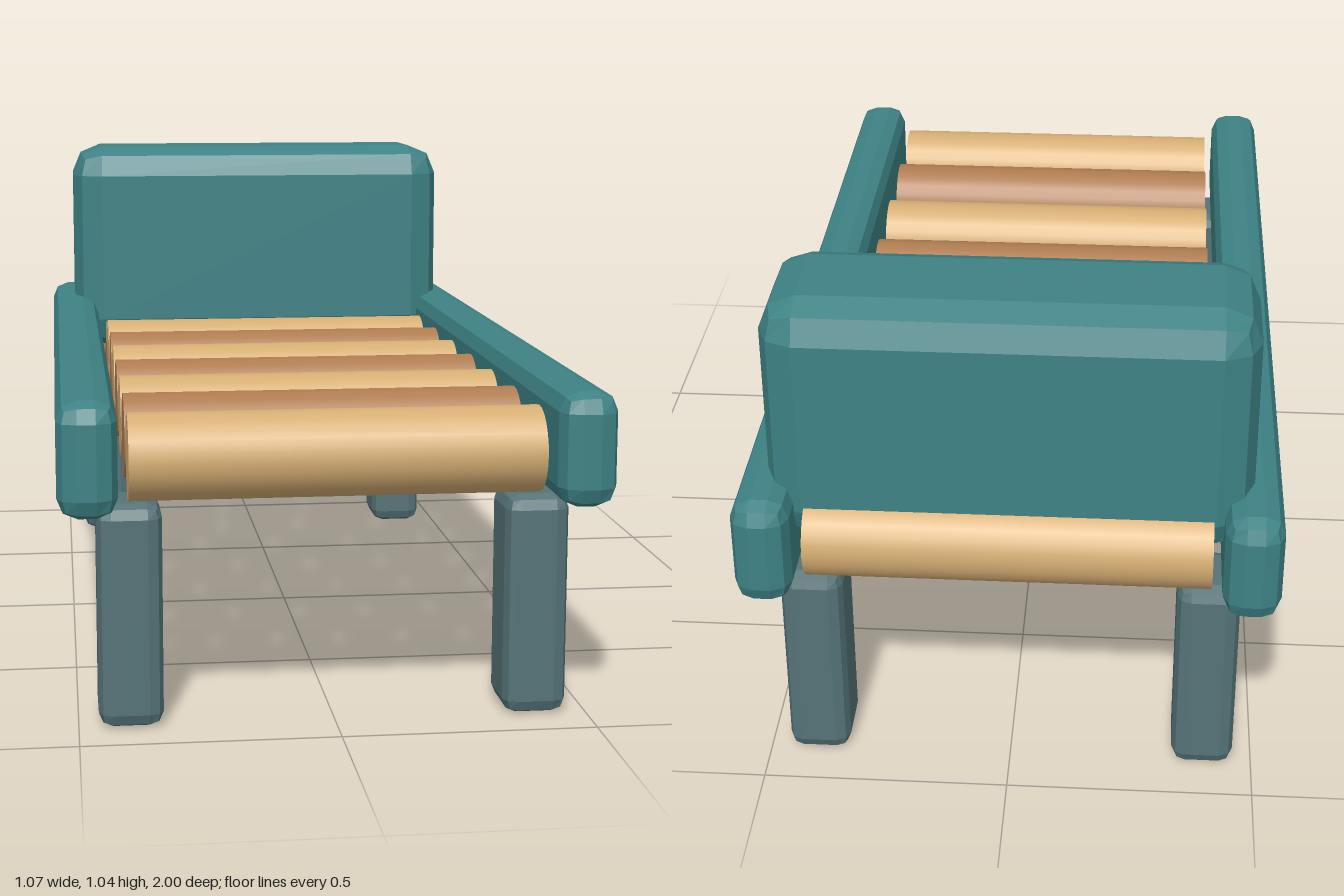
import * as THREE from 'three';
import { RoundedBoxGeometry } from 'three/addons/geometries/RoundedBoxGeometry.js';

function material(name, color) {
  const m = new THREE.MeshStandardMaterial({ color });
  m.name = name;
  return m;
}

export function createModel() {
  const group = new THREE.Group();
  group.name = 'slattedBed';
  const teal = material('teal paint', 0x3e8285);
  const slate = material('slate grey', 0x557377);
  const tan = material('light wood', 0xd6ae74);
  const brown = material('dark wood', 0xaf7c51);

  function add(name, geometry, mat, x, y, z) {
    const mesh = new THREE.Mesh(geometry, mat);
    mesh.name = name;
    mesh.position.set(x, y, z);
    group.add(mesh);
    return mesh;
  }

  // Box with faceted, two-step bevels
  function bevelBox(w, h, d, r) {
    const g = new RoundedBoxGeometry(w, h, d, 1, r);
    g.computeVertexNormals();
    return g;
  }

  // Side rails and legs, mirrored left and right
  const railGeo = bevelBox(0.115, 0.226, 2, 0.04);
  const legGeo = bevelBox(0.126, 0.442, 0.157, 0.028);
  for (const [side, s] of [['left', 1], ['right', -1]]) {
    add(side + 'Rail', railGeo, teal, s * 0.478, 0.543, 0);
    add(side + 'FrontLeg', legGeo, slate, s * 0.398, 0.221, 0.838);
    add(side + 'BackLeg', legGeo, slate, s * 0.398, 0.221, -0.838);
  }

  // Headboard
  add('headboard', bevelBox(0.956, 0.518, 0.316, 0.073), teal, 0, 0.784, -0.758);

  // Round slats in alternating woods
  const slatGeo = new THREE.CylinderGeometry(0.085, 0.085, 0.8, 24);
  slatGeo.rotateZ(Math.PI / 2);
  for (let i = 0; i < 9; i++) {
    add('slat' + (i + 1), slatGeo, i % 2 ? brown : tan, 0, 0.532, 0.883 - i * 0.2207);
  }
  return group;
}
